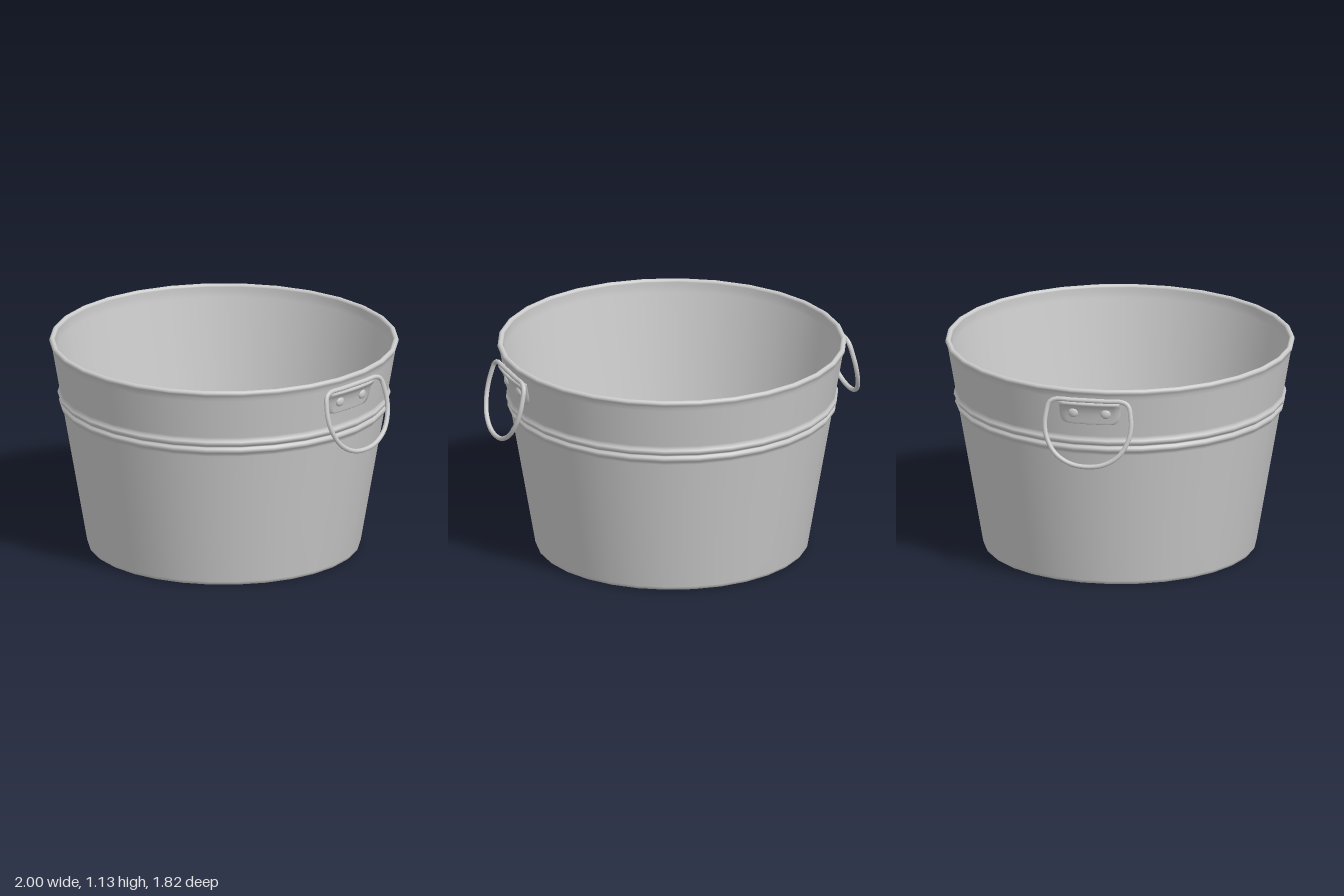
import * as THREE from 'three';

const material = new THREE.MeshStandardMaterial({ color: 0xcccccc });
const sheetMaterial = new THREE.MeshStandardMaterial({ color: 0xcccccc, side: THREE.DoubleSide });

// Outer radius of the tapered wall at height y
const wallRadius = (y) => 0.71 + 0.174 * y;

function add(parent, name, geometry, mat = material) {
  const mesh = new THREE.Mesh(geometry, mat);
  mesh.name = name;
  parent.add(mesh);
  return mesh;
}

// Half-round bead standing out of the wall
function bead(y, half, depth) {
  return [-1, -0.6, 0, 0.6, 1].map((t) => {
    const h = y + t * half;
    return [wallRadius(h) + depth * Math.sqrt(1 - t * t), h];
  });
}

// Tub: floor, tapered wall, two beads, rolled rim and inner wall
function tubGeometry() {
  const profile = [
    [0, 0], [0.69, 0], [0.702, 0.001], [0.71, 0.008], [0.714, 0.02],
    [wallRadius(0.4), 0.4], [wallRadius(0.75), 0.75],
    ...bead(0.783, 0.018, 0.014),
    ...bead(0.826, 0.018, 0.014),
    [wallRadius(0.86), 0.86], [wallRadius(1.07), 1.07], [wallRadius(1.088), 1.088],
  ];
  // rolled rim
  for (let i = 0; i <= 8; i++) {
    const a = -0.9 + (i / 8) * (Math.PI + 0.9);
    profile.push([0.897 + 0.0145 * Math.cos(a), 1.1135 + 0.0145 * Math.sin(a)]);
  }
  profile.push([0.884, 1.09], [0.88, 1.06], [0.795, 0.55], [0.706, 0.04], [0.701, 0.026], [0.69, 0.02], [0.675, 0.018], [0, 0.018]);
  return new THREE.LatheGeometry(profile.map(([r, y]) => new THREE.Vector2(r, y)), 30);
}

// Bracket sheet wrapped around the wall; rows are [offset from wall, height, half width]
function bracketGeometry() {
  const rows = [
    [-0.012, 0.93, 0.105], [0.008, 0.93, 0.108], [0.01, 0.934, 0.13], [0.01, 0.945, 0.147],
    [0.01, 0.965, 0.157], [0.011, 0.99, 0.16], [0.014, 1.015, 0.16], [0.022, 1.033, 0.16],
    [0.031, 1.043, 0.16], [0.032, 1.052, 0.16], [0.024, 1.058, 0.16], [-0.012, 1.06, 0.16],
  ];
  const cols = 12;
  const positions = [];
  const index = [];
  rows.forEach(([offset, y, half], j) => {
    for (let i = 0; i <= cols; i++) {
      // the first and last columns fold back into the wall
      const edge = i === 0 || i === cols;
      const t = THREE.MathUtils.clamp((i - 1) / (cols - 2), 0, 1);
      const z = half * (1 - 2 * t);
      const r = wallRadius(y) + (edge ? -0.012 : offset);
      positions.push(Math.sqrt(r * r - z * z), y, z);
      if (j && i) {
        const d = j * (cols + 1) + i;
        const b = d - cols - 1;
        index.push(b - 1, b, d, b - 1, d, d - 1);
      }
    }
  });
  const geometry = new THREE.BufferGeometry();
  geometry.setAttribute('position', new THREE.Float32BufferAttribute(positions, 3));
  geometry.setIndex(index);
  geometry.computeVertexNormals();
  return geometry;
}

// D-shaped ring hanging outwards from its straight top bar
function ringGeometry() {
  const half = [[0.09, 1.069], [0.18, 1.069], [0.211, 1.05], [0.224, 1.0], [0.229, 0.94], [0.215, 0.87], [0.168, 0.793], [0.09, 0.745]];
  const outline = [[0, 1.069], ...half, [0, 0.731], ...half.slice().reverse().map(([z, y]) => [-z, y])];
  const points = outline.map(([z, y]) => new THREE.Vector3(0.907 + (1.069 - y) * 0.238, y, z));
  const curve = new THREE.CatmullRomCurve3(points, true, 'centripetal');
  return new THREE.TubeGeometry(curve, 72, 0.0125, 10, true);
}

function createHandle(name) {
  const handle = new THREE.Group();
  handle.name = name;
  add(handle, 'bracket', bracketGeometry(), sheetMaterial);
  add(handle, 'ring', ringGeometry());
  // domed rivets
  for (const z of [-0.086, 0.086]) {
    const rivet = add(handle, 'rivet', new THREE.SphereGeometry(0.027, 16, 10));
    const r = wallRadius(0.995) + 0.011;
    rivet.position.set(Math.sqrt(r * r - z * z), 0.995, z);
    rivet.rotation.y = -Math.asin(z / r);
    rivet.scale.x = 0.55;
  }
  return handle;
}

export function createModel() {
  const model = new THREE.Group();
  model.name = 'washTub';
  add(model, 'tub', tubGeometry());
  const left = createHandle('leftHandle');
  const right = createHandle('rightHandle');
  right.rotation.y = Math.PI;
  model.add(left, right);
  return model;
}
